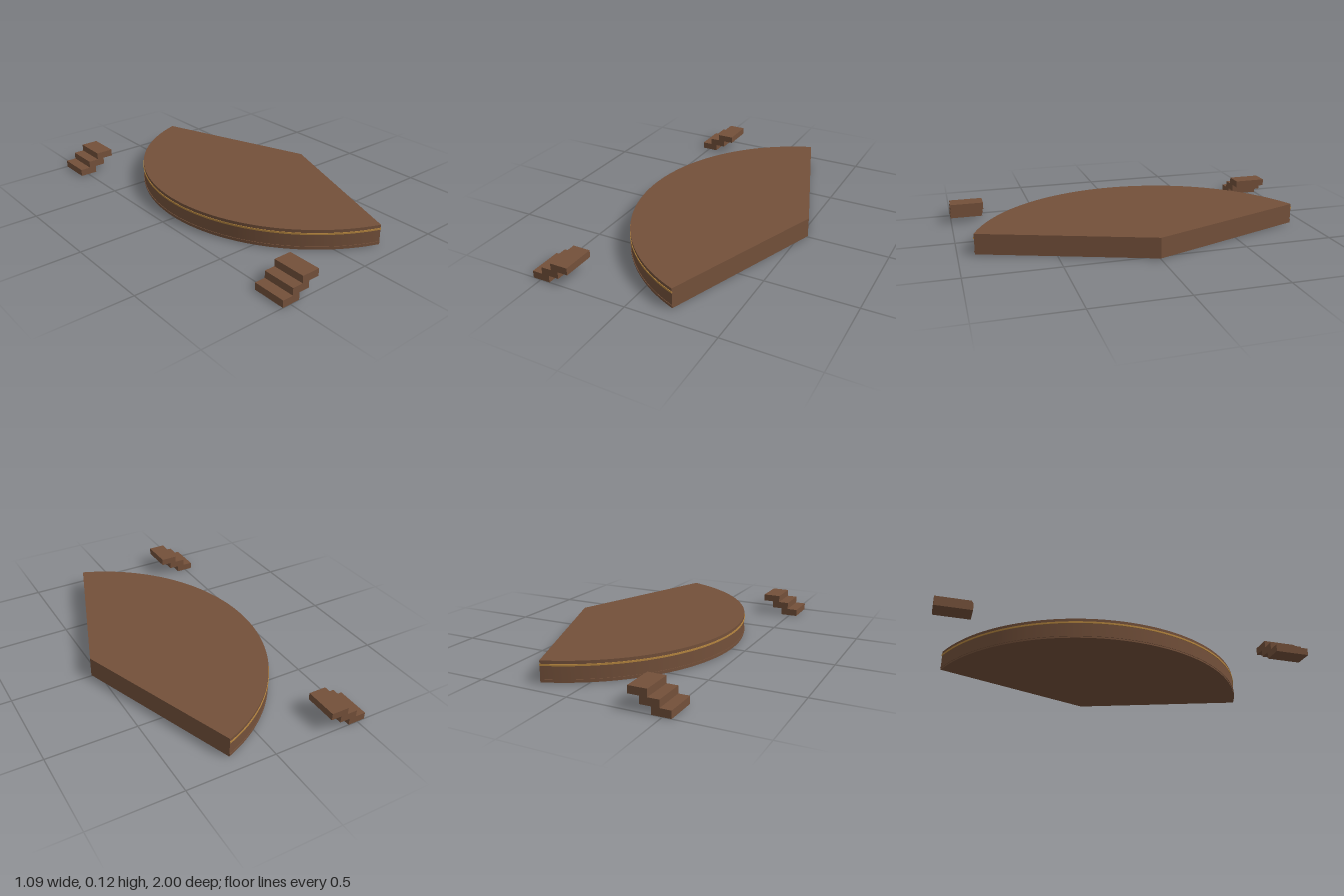
import * as THREE from 'three';
import { toCreasedNormals } from 'three/addons/utils/BufferGeometryUtils.js';

const APEX = 0.543, RADIUS = 0.969, HALF = THREE.MathUtils.degToRad(70);

export function createModel() {
  const group = new THREE.Group();
  const wood = new THREE.MeshStandardMaterial({ color: 0x73503a });
  wood.name = 'brown wood';
  const gold = new THREE.MeshStandardMaterial({ color: 0xb5853f });
  gold.name = 'gold trim';

  const add = (geometry, material, name, parent = group) => {
    const mesh = new THREE.Mesh(geometry, material);
    mesh.name = name;
    parent.add(mesh);
    return mesh;
  };

  // Extrude a plan shape upward between two heights
  const slab = (shape, y0, y1) => {
    const geo = new THREE.ExtrudeGeometry(shape, { depth: y1 - y0, bevelEnabled: false, curveSegments: 64 });
    geo.rotateX(-Math.PI / 2).translate(APEX, y0, 0);
    return toCreasedNormals(geo, 0.5);
  };

  // Fan-shaped platform: an arc closed through its apex
  const fan = new THREE.Shape();
  fan.absarc(0, 0, RADIUS, Math.PI - HALF, Math.PI + HALF, false);
  fan.lineTo(0, 0);
  fan.closePath();
  add(slab(fan, 0.005, 0.118), wood, 'stagePlatform');

  // Thin mouldings following the curved front
  const band = (y0, y1, material, name) => {
    const strip = new THREE.Shape();
    strip.absarc(0, 0, RADIUS + 0.003, Math.PI - HALF, Math.PI + HALF, false);
    strip.absarc(0, 0, RADIUS - 0.004, Math.PI + HALF, Math.PI - HALF, true);
    strip.closePath();
    add(slab(strip, y0, y1), material, name);
  };
  band(0.091, 0.101, gold, 'goldTrim');
  band(0.014, 0.023, wood, 'baseMoulding');

  // Three-tread stairs, one flight at each side
  for (const side of [1, -1]) {
    const stairs = new THREE.Group();
    stairs.name = side > 0 ? 'frontStairs' : 'backStairs';
    for (let i = 0; i < 3; i++) {
      const tread = add(new THREE.BoxGeometry(0.1, 0.0395, 0.188), wood, 'stairTread', stairs);
      tread.position.set(-0.495 + i * 0.0594, 0.01975 + i * 0.0395, side * 0.906);
    }
    group.add(stairs);
  }
  return group;
}
